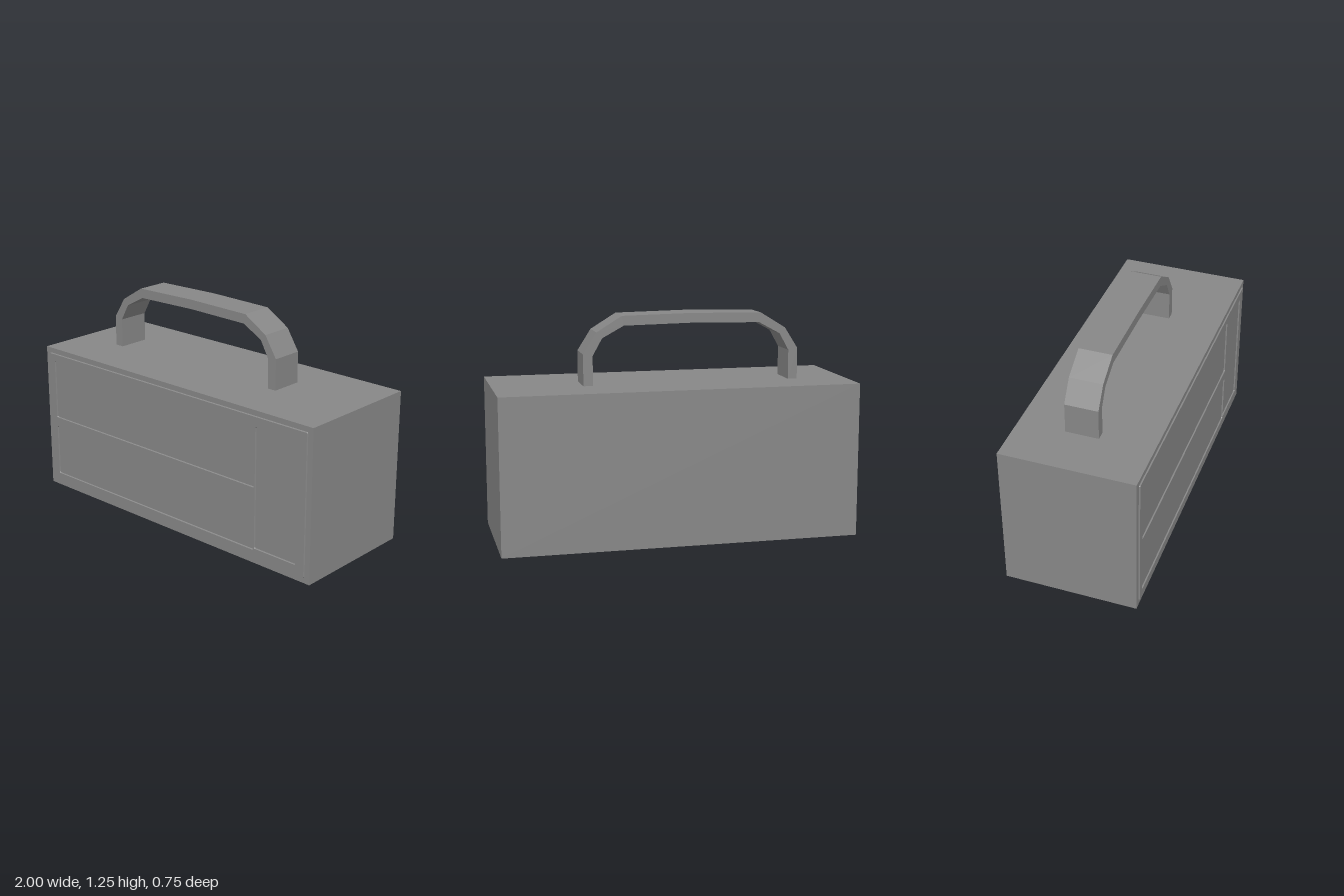
import * as THREE from 'three';

const material = new THREE.MeshStandardMaterial({ color: 0x878787, flatShading: true });

// Traces a rectangle with tiny clipped corners
function trace(path, x0, x1, y0, y1) {
  const c = 0.004;
  path.moveTo(x0 + c, y0);
  path.lineTo(x1 - c, y0);
  path.lineTo(x1, y0 + c);
  path.lineTo(x1, y1 - c);
  path.lineTo(x1 - c, y1);
  path.lineTo(x0 + c, y1);
  path.lineTo(x0, y1 - c);
  path.lineTo(x0, y0 + c);
  path.closePath();
  return path;
}

function addExtrusion(group, name, shape, z, options) {
  const geometry = new THREE.ExtrudeGeometry(shape, options);
  geometry.translate(0, 0, z);
  const mesh = new THREE.Mesh(geometry, material);
  mesh.name = name;
  group.add(mesh);
}

export function createModel() {
  const group = new THREE.Group();
  group.name = 'portableCase';

  // Main box
  const front = 0.37, back = -0.377, height = 0.865;
  const body = new THREE.Mesh(new THREE.BoxGeometry(2, height, front - back), material);
  body.position.set(0, height / 2, (front + back) / 2);
  body.name = 'body';
  group.add(body);

  // Raised front frame with three recessed panels and slightly sloping edges
  const frame = trace(new THREE.Shape(), -0.968, 0.968, 0.033, 0.835);
  const panels = [
    [-0.924, 0.624, 0.441, 0.789],
    [-0.924, 0.624, 0.081, 0.379],
    [0.633, 0.909, 0.091, 0.774],
  ];
  for (const p of panels) frame.holes.push(trace(new THREE.Path(), ...p));
  addExtrusion(group, 'frontFrame', frame, front - 0.002, {
    depth: 0.002, bevelThickness: 0.007, bevelSize: 0.003, bevelOffset: -0.003, bevelSegments: 1,
  });

  // Faceted carrying handle, mirrored about its own centre line
  const centre = -0.108;
  const outer = [[0.613, 0.86], [0.613, 1.04], [0.538, 1.158], [0.396, 1.245], [0, 1.252]];
  const inner = [[0.56, 0.86], [0.56, 1.03], [0.507, 1.125], [0.386, 1.191], [0, 1.198]];
  const arch = (half) => [
    ...half.map(([x, y]) => new THREE.Vector2(centre + x, y)),
    ...half.slice(0, -1).reverse().map(([x, y]) => new THREE.Vector2(centre - x, y)),
  ];
  const handle = new THREE.Shape([...arch(outer), ...arch(inner).reverse()]);
  addExtrusion(group, 'handle', handle, -0.115, { depth: 0.185, bevelEnabled: false });

  return group;
}
